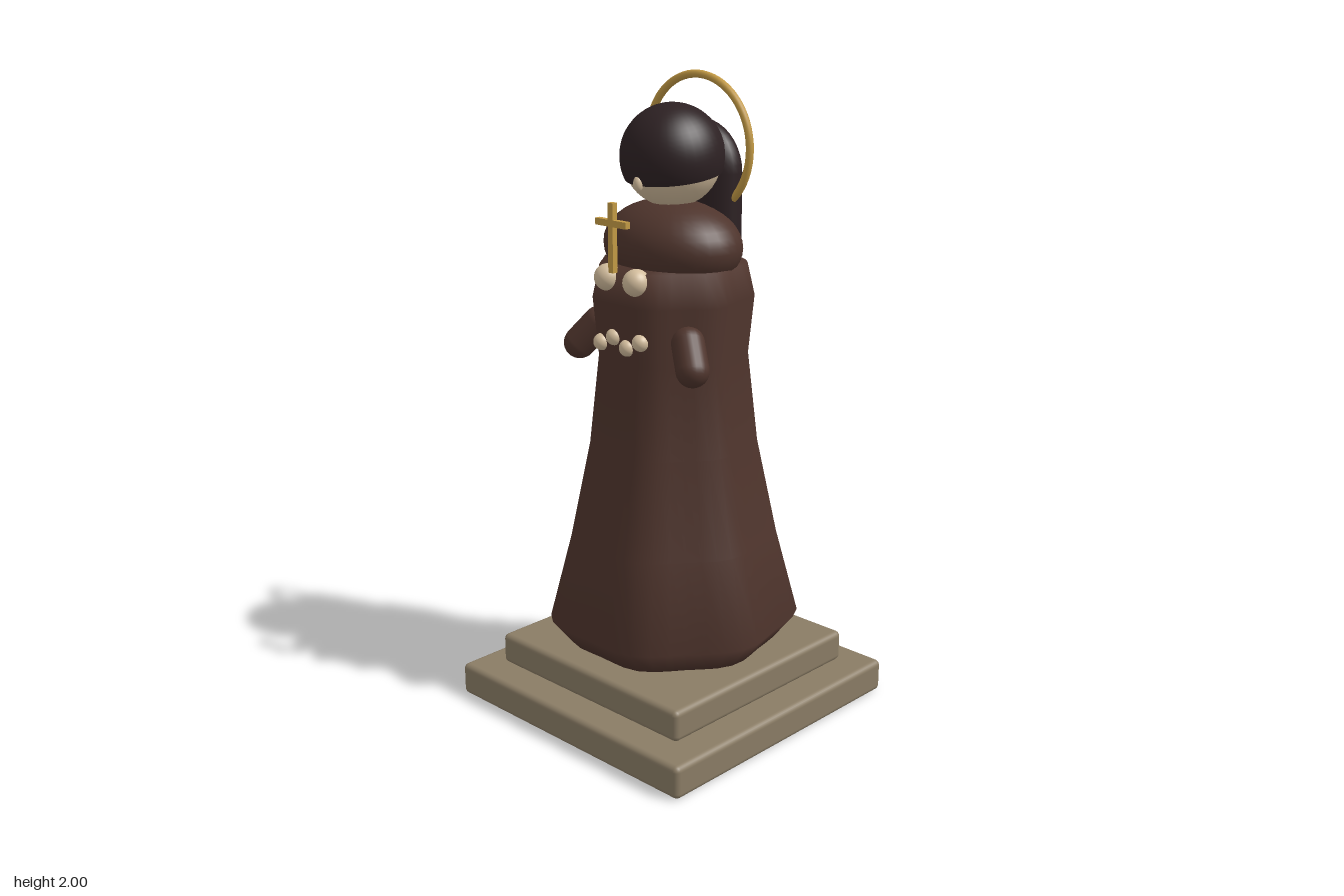
import * as THREE from 'three';
import { mergeVertices } from 'three/addons/utils/BufferGeometryUtils.js';
import { RoundedBoxGeometry } from 'three/addons/geometries/RoundedBoxGeometry.js';

const material = (name, color, extra = {}) => {
  const m = new THREE.MeshStandardMaterial({ color, ...extra });
  m.name = name;
  return m;
};

export function createModel() {
  const stone = material('stone', 0x8a7c65);
  const cloth = material('brown cloth', 0x4e342c);
  const dark = material('dark hair and hood', 0x2d2123, { side: THREE.DoubleSide });
  const skin = material('skin', 0xd2bc9c);
  const gold = material('gold', 0xc39a45);

  const model = new THREE.Group();
  model.name = 'statue';
  const add = (name, geometry, mat, x = 0, y = 0, z = 0) => {
    const mesh = new THREE.Mesh(geometry, mat);
    mesh.name = name;
    mesh.position.set(x, y, z);
    model.add(mesh);
    return mesh;
  };
  const ball = (name, r, mat, x, y, z, sx = 1, sy = 1, sz = 1) => {
    const mesh = add(name, new THREE.SphereGeometry(r, 32, 20), mat, x, y, z);
    mesh.scale.set(sx, sy, sz);
    return mesh;
  };

  // Stepped plinth
  add('lowerPlinth', new RoundedBoxGeometry(0.97, 0.105, 0.97, 3, 0.018), stone, 0, 0.0525, 0);
  add('upperPlinth', new RoundedBoxGeometry(0.78, 0.1, 0.78, 3, 0.018), stone, 0, 0.16, 0);

  // Robe: a turned profile with seven soft folds
  const profile = [
    [0, 0.21], [0.06, 0.212], [0.325, 0.23], [0.388, 0.31], [0.318, 0.58],
    [0.256, 0.88], [0.225, 1.16], [0.242, 1.34], [0.22, 1.44], [0, 1.445],
  ].map(([r, y]) => new THREE.Vector2(r, y));
  let robe = new THREE.LatheGeometry(profile, 42);
  const p = robe.attributes.position;
  for (let i = 0; i < p.count; i++) {
    const x = p.getX(i), z = p.getZ(i);
    const fold = 1 - 0.033 * Math.cos(7 * Math.atan2(x, z));
    p.setX(i, x * fold);
    p.setZ(i, z * fold);
  }
  robe.deleteAttribute('uv');
  robe.deleteAttribute('normal');
  robe = mergeVertices(robe, 1e-4);
  robe.computeVertexNormals();
  add('robe', robe, cloth);

  // Shoulder cowl and the hood hanging behind the head
  ball('cowl', 1, cloth, 0, 1.49, 0, 0.236, 0.14, 0.18);
  const hood = add('hood', new THREE.CapsuleGeometry(0.155, 0.27, 10, 32), dark, 0, 1.57, -0.12);
  hood.scale.z = 0.53;

  // Head with a tilted cap of hair
  ball('face', 0.151, skin, 0, 1.755, 0);
  const hair = add('hair', new THREE.SphereGeometry(0.158, 36, 20, 0, Math.PI * 2, 0, 1.92), dark, 0, 1.755, 0);
  hair.rotation.x = 0.14;
  ball('nose', 0.015, skin, 0, 1.688, 0.144, 1, 1.6, 1);

  // Halo
  add('halo', new THREE.TorusGeometry(0.208, 0.012, 12, 64), gold, 0, 1.78, -0.11);

  // Sleeves and hands
  for (const side of [1, -1]) {
    const from = new THREE.Vector3(side * 0.188, 1.24, 0.13);
    const to = new THREE.Vector3(side * 0.24, 1.172, 0.165);
    const dir = to.clone().sub(from);
    const sleeve = add(side > 0 ? 'leftSleeve' : 'rightSleeve',
      new THREE.CapsuleGeometry(0.05, dir.length(), 8, 20), cloth);
    sleeve.position.copy(from).add(to).multiplyScalar(0.5);
    sleeve.quaternion.setFromUnitVectors(new THREE.Vector3(0, 1, 0), dir.normalize());
    ball(side > 0 ? 'leftHand' : 'rightHand', 0.041, skin, side * 0.06, 1.413, 0.214);
  }

  // Row of beads across the front
  for (let i = 0; i < 4; i++) {
    ball('bead' + (i + 1), 0.026, skin, -0.0825 + i * 0.055, i % 2 ? 1.238 : 1.213, 0.22);
  }

  // Cross held above the hands
  add('crossUpright', new THREE.BoxGeometry(0.02, 0.205, 0.018), gold, 0, 1.543, 0.25);
  add('crossBar', new THREE.BoxGeometry(0.125, 0.02, 0.018), gold, 0, 1.586, 0.25);

  return model;
}
